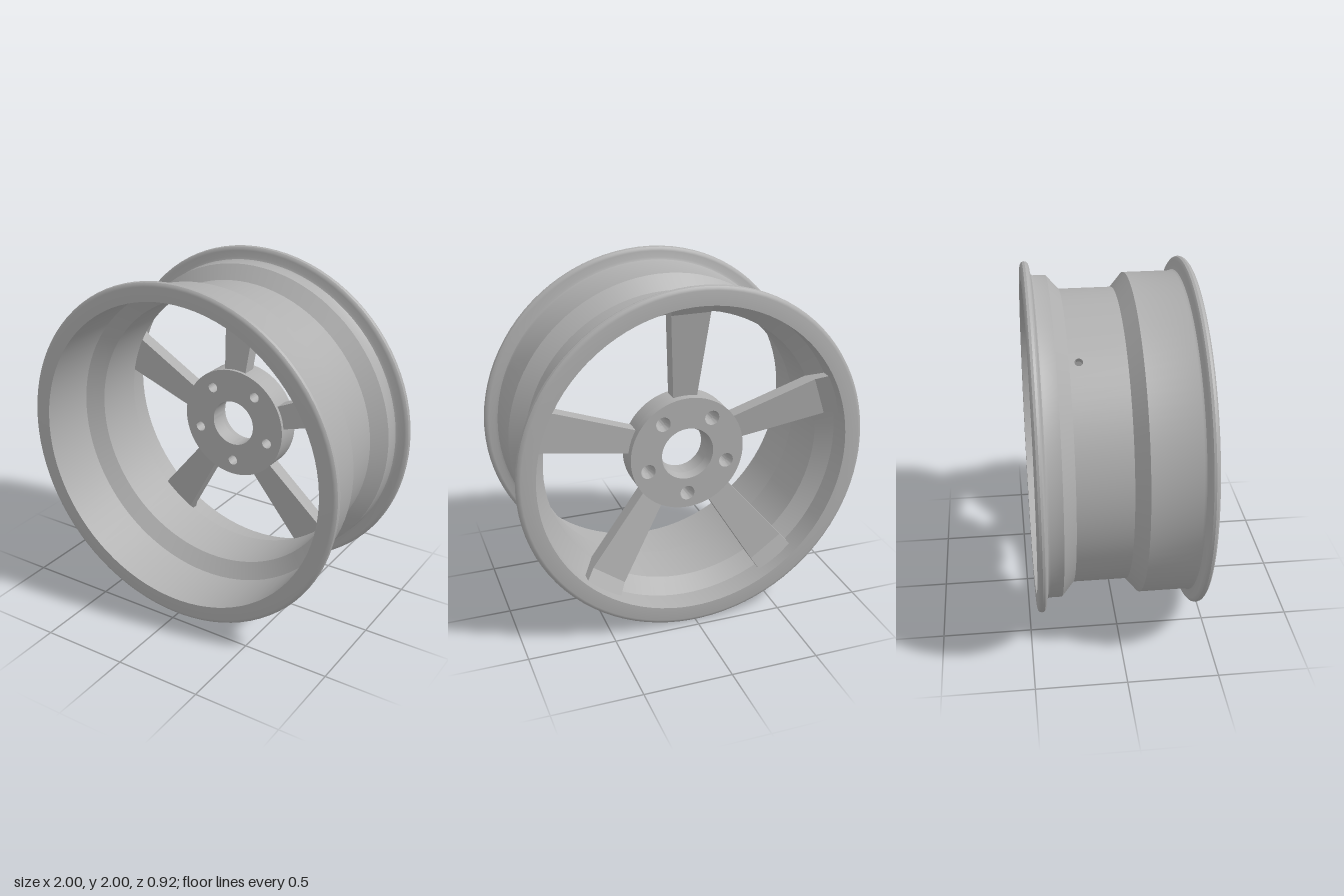
import * as THREE from 'three';
import { toCreasedNormals } from 'three/addons/utils/BufferGeometryUtils.js';

const SEGMENTS = 90;
const STEP = (Math.PI * 2) / SEGMENTS;
const VALVE_ANGLE = THREE.MathUtils.degToRad(126);
// lathe angle just past the one segment that carries the valve hole
const PHI_START = THREE.MathUtils.degToRad(216) + STEP / 2;

const alloy = new THREE.MeshStandardMaterial({ color: 0xb0b0b0 });
alloy.name = 'grey alloy';

function part(name, geometry, parent, crease = 0.5) {
  const mesh = new THREE.Mesh(toCreasedNormals(geometry, crease), alloy);
  mesh.name = name;
  parent.add(mesh);
  return mesh;
}

// Turns [radius, z] points around the wheel axis (z)
function turned(points, segments = SEGMENTS, length = Math.PI * 2) {
  const profile = points.map(([r, z]) => new THREE.Vector2(r, z));
  return new THREE.LatheGeometry(profile, segments, PHI_START, length).rotateX(Math.PI / 2);
}

function circleHole(x, y, r) {
  return new THREE.Path().absarc(x, y, r, 0, Math.PI * 2, true);
}

// Rounded flange from the outer lip down to the barrel; side is +1 front, -1 back
function flange(side) {
  return [
    [0.895, 0.46], [0.975, 0.46], [0.987, 0.457], [0.996, 0.449], [1, 0.436],
    [0.996, 0.423], [0.987, 0.415], [0.975, 0.412], [0.94, 0.408], [0.926, 0.402], [0.92, 0.39],
  ].map(([r, z]) => [r, z * side]);
}

export function createModel() {
  const wheel = new THREE.Group();
  wheel.name = 'wheelRim';
  const body = new THREE.Group();
  body.name = 'wheelBody';
  body.position.y = 1;
  wheel.add(body);

  // Rim: back and front barrels, each with a lip and a sloping shoulder
  part('backBarrel', turned([
    [0.81, -0.25], [0.895, -0.32], ...flange(-1), [0.92, -0.32], [0.84, -0.25],
  ]), body);
  part('frontBarrel', turned([
    [0.84, 0.05], [0.92, 0.12], ...flange(1).reverse(), [0.895, 0.12], [0.81, 0.05],
  ]), body);

  // Narrow centre band, open by one segment for the valve plate
  const bandLength = Math.PI * 2 - STEP;
  part('centreBandOuter', turned([[0.84, -0.25], [0.84, 0.05]], SEGMENTS - 1, bandLength), body);
  part('centreBandInner', turned([[0.81, 0.05], [0.81, -0.25]], SEGMENTS - 1, bandLength), body);

  // Segment with the valve hole
  const w = 0.84 * Math.sin(STEP / 2);
  const plate = new THREE.Shape([
    new THREE.Vector2(-w, -0.15), new THREE.Vector2(w, -0.15),
    new THREE.Vector2(w, 0.15), new THREE.Vector2(-w, 0.15),
  ]);
  plate.holes.push(circleHole(0, -0.1, 0.022));
  const radial = new THREE.Vector3(Math.cos(VALVE_ANGLE), Math.sin(VALVE_ANGLE), 0);
  const along = new THREE.Vector3(0, 0, 1);
  const across = new THREE.Vector3().crossVectors(along, radial);
  const place = new THREE.Matrix4().makeBasis(across, along, radial);
  place.setPosition(radial.clone().multiplyScalar(0.84 * Math.cos(STEP / 2) - 0.03).setZ(-0.1));
  const plateGeometry = new THREE.ExtrudeGeometry(plate, { depth: 0.03, bevelEnabled: false, curveSegments: 20 });
  part('valvePlate', plateGeometry.applyMatrix4(place), body);

  // Hub: front layer with plain holes, back layer with countersunk ones
  const bolts = Array.from({ length: 5 }, (_, i) => {
    const a = -Math.PI / 2 + (i * Math.PI * 2) / 5;
    return [0.243 * Math.cos(a), 0.243 * Math.sin(a)];
  });
  function hubLayer(name, z, depth, bore, bolt) {
    const disc = new THREE.Shape().absarc(0, 0, 0.332, 0, Math.PI * 2, false);
    disc.holes.push(circleHole(0, 0, bore));
    for (const [x, y] of bolts) disc.holes.push(circleHole(x, y, bolt));
    const geometry = new THREE.ExtrudeGeometry(disc, { depth, bevelEnabled: false, curveSegments: 48 });
    part(name, geometry.translate(0, 0, z), body);
  }
  hubLayer('hubFront', -0.25, 0.1, 0.137, 0.03);
  hubLayer('hubBack', -0.3, 0.05, 0.152, 0.042);
  part('boreChamfer', turned([[0.137, -0.25], [0.152, -0.3]], 48), body);
  for (const [x, y] of bolts) {
    part('boltSeat', turned([[0.03, -0.25], [0.042, -0.3]], 32), body).position.set(x, y, 0);
  }

  // Five spokes: a side profile in (radius, z), widened towards the rim
  const side = new THREE.Shape([
    [0.3, -0.25], [0.82, -0.337], [0.897, -0.385], [0.897, -0.32], [0.815, -0.25], [0.3, -0.165],
  ].map(([r, z]) => new THREE.Vector2(r, z)));
  const spoke = new THREE.ExtrudeGeometry(side, { depth: 1, bevelEnabled: false });
  const p = spoke.attributes.position;
  for (let i = 0; i < p.count; i++) {
    const r = p.getX(i), z = p.getY(i);
    const halfWidth = 0.07 + (r - 0.33) * 0.085;
    p.setXYZ(i, (p.getZ(i) * 2 - 1) * halfWidth, r, z);
  }
  for (let i = 0; i < 5; i++) {
    part('spoke', spoke, body, 0.1).rotation.z = (i * Math.PI * 2) / 5;
  }

  return wheel;
}
